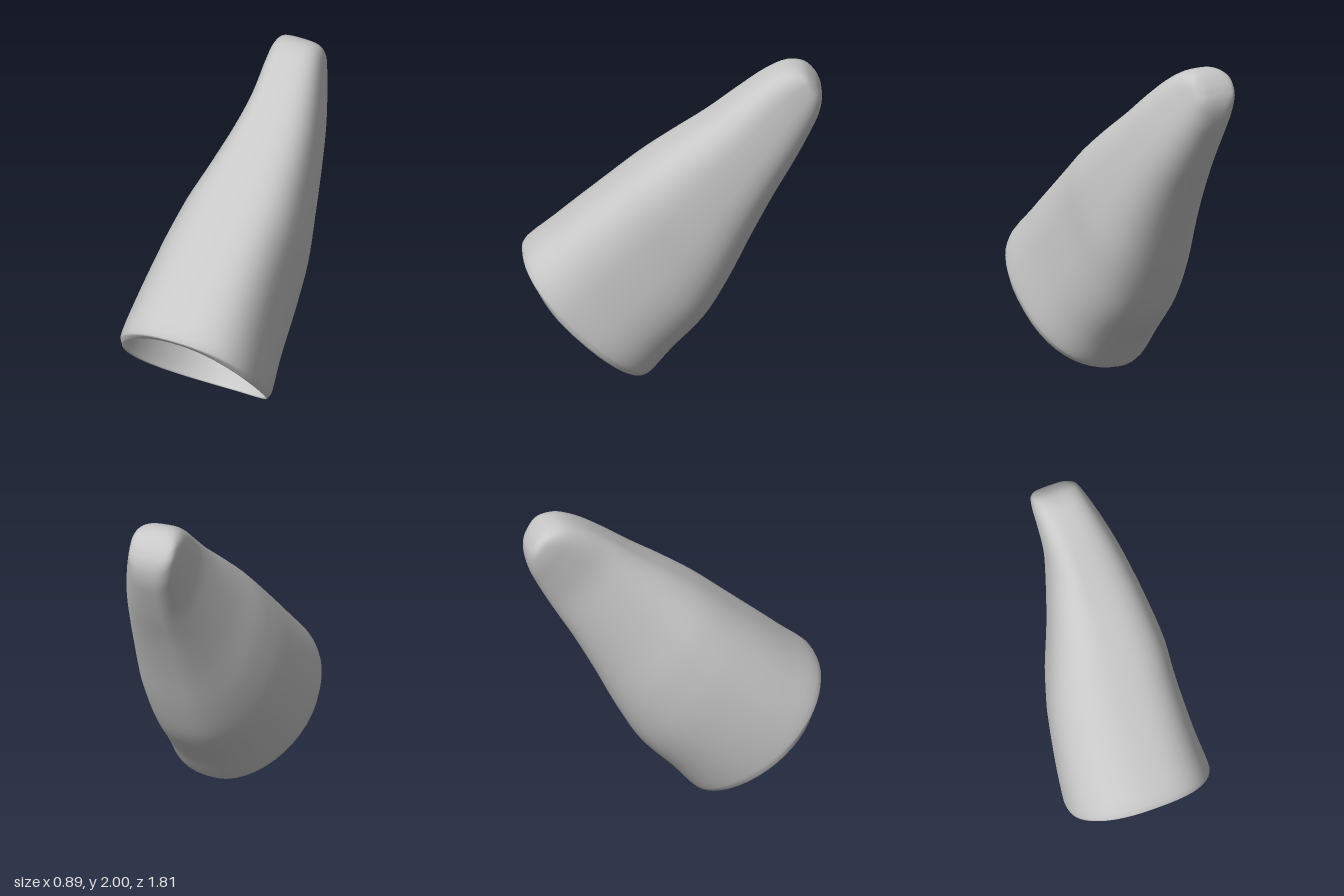
import * as THREE from 'three';
import { mergeVertices } from 'three/addons/utils/BufferGeometryUtils.js';

// Cross-sections from rim to tip:
// upper edge z, y | lower edge z, y | extent to -x, extent to +x
const SECTIONS = [
  [0.88, 0.74, 0.14, 0.00, 0.44, 0.435],
  [0.905, 0.775, 0.115, 0.02, 0.45, 0.445],
  [0.72, 0.945, 0.00, 0.16, 0.435, 0.42],
  [0.40, 1.22, -0.20, 0.38, 0.39, 0.40],
  [0.20, 1.39, -0.34, 0.62, 0.335, 0.40],
  [0.00, 1.54, -0.48, 0.91, 0.255, 0.37],
  [-0.20, 1.68, -0.62, 1.18, 0.19, 0.33],
  [-0.38, 1.82, -0.74, 1.39, 0.145, 0.285],
  [-0.56, 1.945, -0.835, 1.57, 0.14, 0.23],
  [-0.69, 1.998, -0.885, 1.68, 0.14, 0.19],
  [-0.79, 1.985, -0.905, 1.77, 0.13, 0.16],
  [-0.86, 1.92, -0.902, 1.83, 0.095, 0.10],
  [-0.89, 1.87, -0.89, 1.87, 0, 0],
];
const SIDES = 48;
const STEPS = 48;
const WALL = 0.01;

const curve = (pick) => new THREE.CatmullRomCurve3(SECTIONS.map((s) => new THREE.Vector3(...pick(s))));
const upper = curve((s) => [0, s[1], s[0]]);
const lower = curve((s) => [0, s[3], s[2]]);
const widths = curve((s) => [s[4], s[5], 0]);

// Squareness of each quarter of the section: the right side is flat with ridges, the left is rounder
function squareness(t, isTop, isRight) {
  const body = Math.min(t * 4, 1);
  if (isTop) return isRight ? 2.3 + 0.8 * body : 2.2 + 0.6 * THREE.MathUtils.smoothstep(t, 0.5, 0.75);
  return isRight ? 2.4 + 0.4 * body : 1.85 + 0.55 * t;
}

// One closed loop of points at t along the sleeve, inset by the wall thickness
function ring(t, wall, out) {
  const top = upper.getPoint(t);
  const bottom = lower.getPoint(t);
  const w = widths.getPoint(t);
  const height = top.clone().sub(bottom);
  const centre = bottom.clone().lerp(top, 0.57);
  const shrink = (size) => Math.max(size - wall, 0) / Math.max(size, 1e-6);
  const up = top.clone().sub(centre);
  const down = bottom.clone().sub(centre);
  up.multiplyScalar(shrink(up.length()));
  down.multiplyScalar(shrink(down.length()));
  const bulge = 0.035 * Math.pow(1 - t, 8); // the sides of the rim reach forward
  const lean = 0.14 * t * (1 - t); // left and right sides are widest at different heights
  for (let j = 0; j < SIDES; j++) {
    const a = (j / SIDES) * Math.PI * 2;
    const cos = Math.cos(a);
    const sin = Math.sin(a);
    const power = 2 / squareness(t, sin > 0, cos > 0);
    const c = Math.sign(cos) * Math.pow(Math.abs(cos), power);
    const s = Math.pow(Math.abs(sin), power);
    const half = c > 0 ? w.y : w.x;
    const p = centre.clone().addScaledVector(sin > 0 ? up : down, s);
    p.addScaledVector(height, -lean * c * (1 - s));
    out.push(c * Math.max(half - wall, 0), p.y - bulge * c * c, p.z + bulge * c * c);
  }
}

function sleeveGeometry() {
  const positions = [];
  const index = [];
  // Inner wall, from its closed end to the rim
  const innerEnd = 0.95;
  const centre = upper.getPoint(innerEnd).lerp(lower.getPoint(innerEnd), 0.5);
  for (let j = 0; j < SIDES; j++) positions.push(0, centre.y, centre.z);
  for (let i = STEPS; i >= 0; i--) ring((i / STEPS) * 0.92, WALL, positions);
  // Outer wall, from the rim to the rounded tip
  for (let i = 0; i <= STEPS; i++) ring(i / STEPS, 0, positions);

  const rings = positions.length / 3 / SIDES;
  for (let i = 0; i < rings - 1; i++) {
    for (let j = 0; j < SIDES; j++) {
      const k = (j + 1) % SIDES;
      const a = i * SIDES + j, b = i * SIDES + k;
      const c = a + SIDES, d = b + SIDES;
      index.push(a, c, b, b, c, d);
    }
  }
  let geometry = new THREE.BufferGeometry();
  geometry.setAttribute('position', new THREE.Float32BufferAttribute(positions, 3));
  geometry.setIndex(index);
  geometry = mergeVertices(geometry, 1e-5);
  geometry.computeVertexNormals();
  return geometry;
}

export function createModel() {
  const grey = new THREE.MeshStandardMaterial({ color: 0xc8c8c8 });
  grey.name = 'plain grey';
  const sleeve = new THREE.Mesh(sleeveGeometry(), grey);
  sleeve.name = 'hollowSleeve';
  const model = new THREE.Group();
  model.name = 'taperedSleeve';
  model.add(sleeve);
  return model;
}
